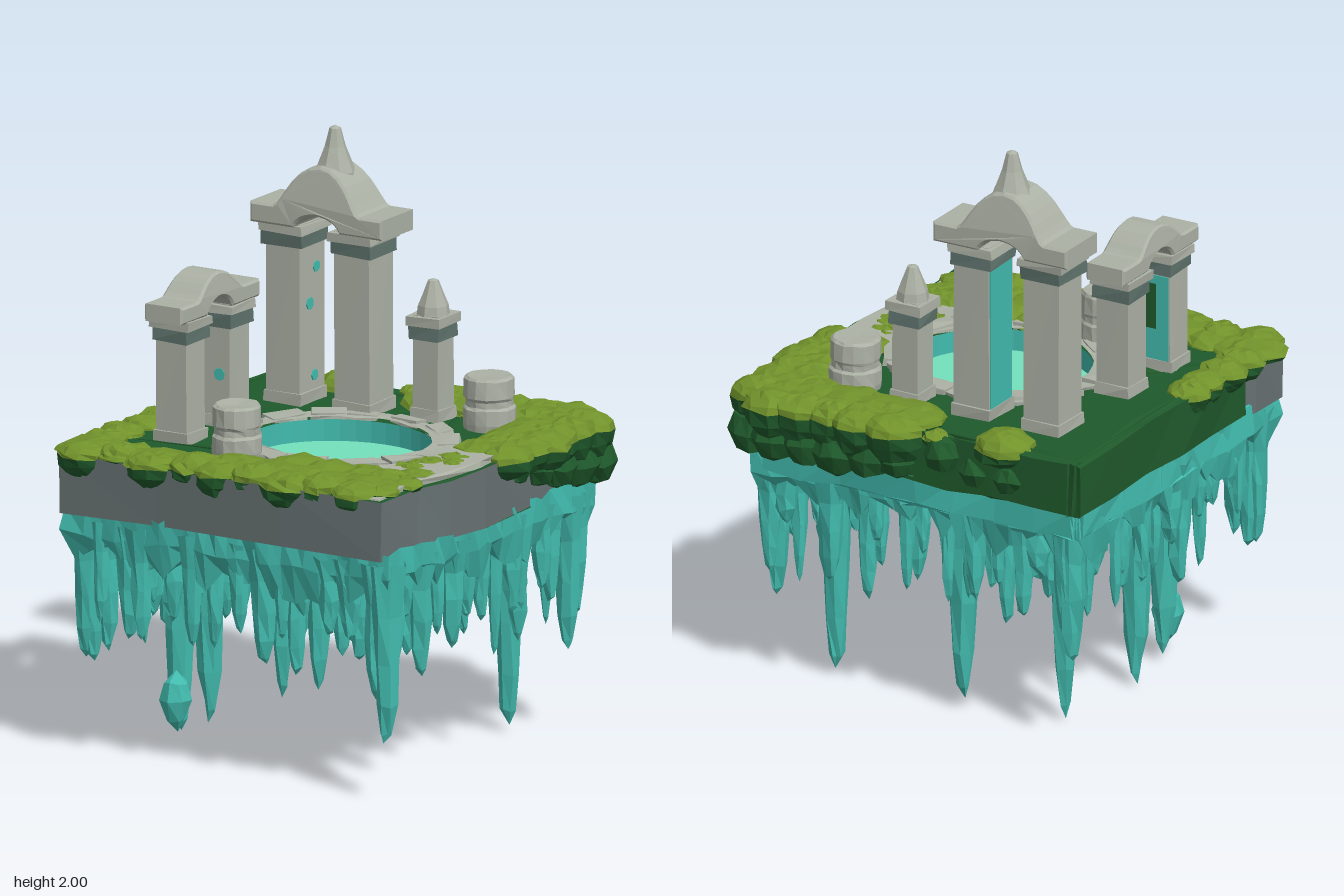
import * as THREE from 'three';
import { mergeGeometries } from 'three/addons/utils/BufferGeometryUtils.js';

const mat = (name, color, side = THREE.FrontSide) => {
  const m = new THREE.MeshStandardMaterial({ color, side });
  m.name = name;
  return m;
};

// repeatable noise, for sequences and for positions
let seed = 7;
const rnd = (a = 0, b = 1) => {
  seed = (seed * 16807) % 2147483647;
  return a + (b - a) * seed / 2147483647;
};
const hash = (x, y, z, k) => {
  const s = Math.sin(x * 127.1 + y * 311.7 + z * 74.7 + k * 19.3) * 43758.5453;
  return s - Math.floor(s) - 0.5;
};

// shift coincident corners together, then give every face its own normal
function facet(geo, amount = 0) {
  const g = geo.index ? geo.toNonIndexed() : geo;
  const p = g.attributes.position;
  for (let i = 0; i < p.count; i++) {
    const c = [p.getX(i), p.getY(i), p.getZ(i)].map(v => Math.round(v * 1000) / 1000 + 0);
    p.setXYZ(i, ...c.map((v, k) => v + hash(...c, k) * 2 * amount));
  }
  g.computeVertexNormals();
  return g;
}

const box = (w, h, d, x, y, z, seg = 1, j = 0.004) =>
  facet(new THREE.BoxGeometry(w, h, d, seg, 1, seg).translate(x, y, z), j);
const lathe = (pts, sides, x, y, z, j = 0) =>
  facet(new THREE.LatheGeometry(pts.map(p => new THREE.Vector2(...p)), sides).translate(x, y, z), j);

// horizontal plate from an outline in x and z
function plate(pts, y0, y1, hole, j = 0.006) {
  const shape = new THREE.Shape(pts.map(([x, z]) => new THREE.Vector2(x, -z)));
  if (hole) shape.holes.push(new THREE.Path(hole.map(([x, z]) => new THREE.Vector2(x, -z))));
  const g = new THREE.ExtrudeGeometry(shape, { depth: y1 - y0, bevelEnabled: false });
  return facet(g.rotateX(-Math.PI / 2).translate(0, y0, 0), j);
}
const PX = 0.03, PZ = 0.05;
const ellipse = (rx, rz, n = 36, wobble = 0) => Array.from({ length: n }, (_, i) => {
  const a = i / n * Math.PI * 2, s = 1 + rnd(-wobble, wobble);
  return [PX + Math.cos(a) * rx * s, PZ + Math.sin(a) * rz * s];
});

export function createModel() {
  const stone = mat('pale stone', 0xacb1a5);
  const rock = mat('dark rock', 0x687273);
  const neck = mat('shaded stone', 0x5f736d);
  const turf = mat('dark turf', 0x1f592b, THREE.DoubleSide);
  const moss = mat('moss', 0x71922b, THREE.DoubleSide);
  const olive = mat('dark olive', 0x545a18);
  const teal = mat('teal crystal', 0x42bbae, THREE.DoubleSide);
  const water = mat('water', 0x74e0bc);

  const root = new THREE.Group();
  const add = (name, geo, material, parent = root) => {
    const m = new THREE.Mesh(Array.isArray(geo) ? mergeGeometries(geo) : geo, material);
    m.name = name;
    parent.add(m);
    return m;
  };

  // island slab with the pool cut through it
  const outline = [[-.64, -.6], [-.3, -.6], [.1, -.6], [.58, -.6], [.61, -.2], [.63, .1], [.61, .3],
    [.58, .45], [.59, .69], [.2, .7], [-.3, .69], [-.67, .7], [-.68, .52], [-.645, .4], [-.645, -.2]];
  add('islandSlab', plate(outline, 0.84, 1.04, ellipse(0.325, 0.285)), [turf, rock]);
  add('turfDrape', [box(0.84, 0.18, 0.05, -0.25, 0.955, -0.61, 5, 0.008),
    box(0.05, 0.18, 1.08, -0.655, 0.955, -0.095, 5, 0.008)], turf);

  // pool
  const disc = (rx, rz, y, turn) => facet(new THREE.CircleGeometry(1, 36).rotateX(turn * Math.PI / 2)
    .scale(rx, 1, rz).translate(PX, y, PZ));
  add('poolWall', facet(new THREE.CylinderGeometry(1, 1, .145, 36, 1, true)
    .scale(.316, 1, .276).translate(PX, .972, PZ)), teal);
  add('poolWater', disc(0.318, 0.278, 0.97, -1), water);
  add('poolUnderside', disc(0.44, 0.41, 0.775, 1), water);
  add('hollowRim', plate(ellipse(0.55, 0.53), 0.75, 0.83, ellipse(0.43, 0.4)), olive);

  // stone paving: pool surround and bare right-hand edge
  add('poolSurround', plate(ellipse(0.4, 0.355, 26, 0.07), 1.03, 1.054, ellipse(0.315, 0.275), 0.004), stone);
  const kerb = [];
  for (let i = 0; i < 14; i++) {
    const a = i / 14 * Math.PI * 2 + rnd(-.08, .08);
    const g = new THREE.BoxGeometry(rnd(.06, .075), 0.03, rnd(.1, .13)).rotateY(-a)
      .translate(PX + Math.cos(a) * .37, rnd(1.042, 1.048), PZ + Math.sin(a) * .325);
    kerb.push(facet(g, 0.006));
  }
  add('kerbStones', kerb, stone);
  add('bareEdge', plate([[.38, -.08], [.59, -.06], [.61, .1], [.595, .29], [.56, .45], [.575, .67],
    [.4, .67], [.33, .34], [.42, .18]], 1.03, 1.052, null, 0.008), stone);

  // moss clumps: lit tops over dark undersides
  const tops = [], bottoms = [];
  const dome = (list, x, y, z, r, ry, t0, t1) => list.push(facet(
    new THREE.SphereGeometry(1, 10, 4, 0, Math.PI * 2, t0 * Math.PI, (t1 - t0) * Math.PI)
      .scale(r, ry, r * .95).translate(x, y, z), 0.006));
  const clump = (x, z, r, y = 1.04, ry = 0.035, hang = ry) => {
    x += rnd(-.015, .015); z += rnd(-.015, .015); r *= rnd(.9, 1.1);
    dome(tops, x, y, z, r, ry, 0, .5);
    dome(bottoms, x, y, z, r, hang, .5, 1);
  };
  for (let x = -.61, i = 0; x < .5; x += .135, i++) {
    clump(x, .635, i % 2 ? .085 : .1, 1.04, .04 + (i % 2) * .01, i % 2 ? .06 : .085);
  }
  for (const x of [-.6, -.49, -.36, -.22, -.07, .06, .18, .3, .43]) clump(x, x < -.2 ? .58 : .53, .125);
  for (const x of [.09, .21, .34, .45]) clump(x, .42, .105);
  for (const [x, z] of [[.49, .33], [.52, .45], [.5, .58]]) clump(x, z, .07, 1.045, .025);
  for (const z of [.13, .24, .35, .47]) clump(-.635, z, .08, 1.035, .045, .07);
  clump(-.35, -.58, .1, 1.03, .065);
  clump(-.11, -.62, .05, 1.03, .035);
  for (let x = .05; x < .6; x += .115) {
    clump(x, -.63, .105, 1.03, .055, .12);
    clump(x, -.54, .13, 1.045, .04);
  }
  for (let z = -.58; z < 0; z += .1) {
    clump(.6, z, .095, 1.03, .05 - z * .02, .06 - z * .1);
    clump(.5, z, .12, 1.045, .035);
  }
  for (const [x, z] of [[.5, .08], [.45, .17], [.54, .16], [.44, .25]]) clump(x, z, .06, 1.048, .014);
  // dark overhangs along the back and the right-hand rear edge
  for (const [x, z, r, y] of [[.6, -.61, .085, .91], [.6, -.5, .08, .92], [.6, -.38, .075, .94],
    [.6, -.26, .065, .96], [.6, -.14, .05, .98], [.5, -.63, .09, .92], [.38, -.63, .085, .92],
    [.26, -.63, .085, .91], [.14, -.63, .08, .92], [.03, -.62, .075, .93], [-.15, -.63, .07, .985],
    [-.27, -.61, .06, .94], [-.4, -.61, .06, .94]]) dome(bottoms, x, y, z, r, r, 0, 1);
  add('mossTops', tops, moss);
  add('mossUndersides', bottoms, turf);

  // ragged crystal skirt: a ring profile squared to the island's edge
  const skirt = new THREE.LatheGeometry([[.78, .84], [.82, .78], [.89, .73], [.96, .7], [1, .77], [1, .86]]
    .map(p => new THREE.Vector2(...p)), 96);
  const sp = skirt.attributes.position;
  for (let i = 0; i < sp.count; i++) {
    const a = Math.atan2(sp.getZ(i), sp.getX(i)), y = sp.getY(i);
    const k = 1 / Math.max(Math.abs(Math.cos(a)), Math.abs(Math.sin(a)));
    const drop = y < .76 ? hash(Math.round(Math.cos(a) * 99), 0, Math.round(Math.sin(a) * 99), 1) * .12 : 0;
    sp.setXYZ(i, sp.getX(i) * k * .64 - .03, y + drop, sp.getZ(i) * k * .645 + .035);
  }
  add('crystalSkirt', facet(skirt, .012), teal);
  add('skirtBand', [box(1.2, .1, .04, -.04, .83, -.605, 8, .01),
    box(.04, .1, 1.1, -.655, .83, -.06, 8, .01)], teal);

  // icicles along the four edges, plus the long ones
  const icicles = [];
  const icicle = (x, z, r, tip, top = 0.82) => {
    const h = top - tip;
    icicles.push(lathe([[0, 0], [r * .45, h * .06], [r * .8, h * .22], [r, h * .45],
      [r * 1.05, h * .7], [r * 1.6, h]], 7, x, tip, z, r * .17));
  };
  const corners = [[-.63, -.58], [.58, -.57], [.57, .655], [-.63, .66]];
  corners.forEach(([x0, z0], i) => {
    const [x1, z1] = corners[(i + 1) % 4];
    for (let k = 0; k < 26; k++) {
      const t = (k + rnd(.1, .9)) / 26, inset = 1 - [.02, .11, .05, .19][k % 4];
      const tip = k % 4 === 3 ? rnd(.45, .6) : k % 5 === 0 ? rnd(.33, .43) : rnd(.42, .62);
      icicle((x0 + (x1 - x0) * t) * inset, (z0 + (z1 - z0) * t) * inset, rnd(.022, .042), tip);
    }
  });
  for (const [x, z, r, tip] of [[-.47, .26, .046, .02], [-.5, .03, .046, 0], [-.46, -.36, .045, .01],
    [-.12, -.45, .048, .04], [.4, -.4, .046, .03], [.57, .63, .045, .2], [-.6, -.55, .042, .3],
    [.57, -.5, .04, .28], [-.6, .6, .04, .32], [.2, -.53, .035, .36], [.2, .6, .035, .38]]) icicle(x, z, r, tip);
  add('icicles', icicles, teal);
  add('icicleDrop', lathe([[0, -.1], [.03, -.06], [.055, .01], [.042, .07], [0, .11]], 7, -.45, .14, .32, .006), teal);

  // square pillar: plinth, shaft, dark neck and capital
  function pillar(name, x, z, w, d, top) {
    const g = new THREE.Group();
    g.name = name;
    root.add(g);
    const h = top - 1.03;
    add('plinth', box(w + .012, .05, d + .012, x, 1.055, z), stone, g);
    add('shaft', box(w, h, d, x, 1.03 + h / 2, z, 1, .002), stone, g);
    add('neck', box(w + .02, .05, d + .02, x, top - .055, z), neck, g);
    add('capital', box(w + .035, .03, d + .035, x, top - .018, z), stone, g);
  }
  // arched lintel; its hump narrows towards the top
  function lintel(half, y, thick, hump, rise, open, depth) {
    const s = new THREE.Shape();
    s.moveTo(-half, y);
    s.lineTo(-half, y + thick);
    s.lineTo(-hump - .03, y + thick);
    s.bezierCurveTo(-hump, y + thick, -hump * .75, y + rise, 0, y + rise);
    s.bezierCurveTo(hump * .75, y + rise, hump, y + thick, hump + .03, y + thick);
    s.lineTo(half, y + thick);
    s.lineTo(half, y);
    s.lineTo(open + .02, y);
    s.quadraticCurveTo(open, y + .045, 0, y + .05);
    s.quadraticCurveTo(-open, y + .045, -open - .02, y);
    const g = new THREE.ExtrudeGeometry(s, { depth: depth - .016, curveSegments: 7,
      bevelThickness: .008, bevelSize: .008, bevelOffset: -.008, bevelSegments: 1 });
    g.translate(0, 0, -(depth - .016) / 2);
    const p = g.attributes.position;
    for (let i = 0; i < p.count; i++) {
      p.setZ(i, p.getZ(i) * (1 - 1.8 * Math.max(0, p.getY(i) - y - thick)));
    }
    return facet(g);
  }

  // tall arch
  pillar('tallArchOuterPillar', -.41, -.355, .135, .15, 1.66);
  pillar('tallArchInnerPillar', -.14, -.355, .135, .15, 1.66);
  add('tallArchLintel', lintel(.26, 1.655, .07, .14, .215, .07, .205), stone).position.set(-.265, 0, -.355);
  add('tallArchSpire', lathe([[0, -.02], [.07, -.02], [.07, .015], [.055, .05], [.036, .1], [.02, .16], [0, .17]],
    8, -.255, 1.83, -.36), stone);
  add('tallArchCrystalFace', box(.006, .5, .135, -.209, 1.33, -.355, 1, 0), teal);

  // low arch, turned along z
  pillar('lowArchFrontPillar', -.44, .31, .12, .115, 1.465);
  pillar('lowArchBackPillar', -.44, .04, .12, .115, 1.465);
  const low = add('lowArchLintel', lintel(.245, 1.46, .06, .115, .135, .06, .15), stone);
  low.position.set(-.44, 0, .175);
  low.rotation.y = Math.PI / 2;
  add('lowArchCrystalFace', box(.11, .3, .006, -.44, 1.23, .251, 1, 0), teal);
  add('lowArchMossFace', box(.06, .16, .006, -.42, 1.27, .248, 1, 0), turf);

  // small crystal spots on the shafts
  const spot = (r, axis, x, y, z) => facet(
    new THREE.CylinderGeometry(r, r, .006, 7)[axis](Math.PI / 2).translate(x, y, z));
  add('crystalSpots', [spot(.022, 'rotateZ', -.342, 1.38, -.34), spot(.02, 'rotateZ', -.342, 1.13, -.37),
    spot(.02, 'rotateZ', -.342, 1.5, -.38), spot(.022, 'rotateX', -.42, 1.22, .098)], teal);

  // single spired pillar
  pillar('spiredPillar', .118, -.38, .1, .1, 1.4);
  add('pillarSpire', lathe([[0, -.01], [.058, -.01], [.052, .03], [.036, .07], [.018, .114], [0, .12]], 8,
    .118, 1.4, -.38), stone);

  // broken column stubs
  for (const [x, z, r] of [[-.16, .4, .08], [.338, -.38, .084]]) {
    add('columnStub', lathe([[0, 0], [r, 0], [r * 1.06, .03], [r * 1.06, .08], [r * .97, .09], [r * .97, .11],
      [r * 1.03, .12], [r, .18], [r * .9, .19], [0, .185]], 14, x, 1.03, z, .002), stone);
  }
  return root;
}
